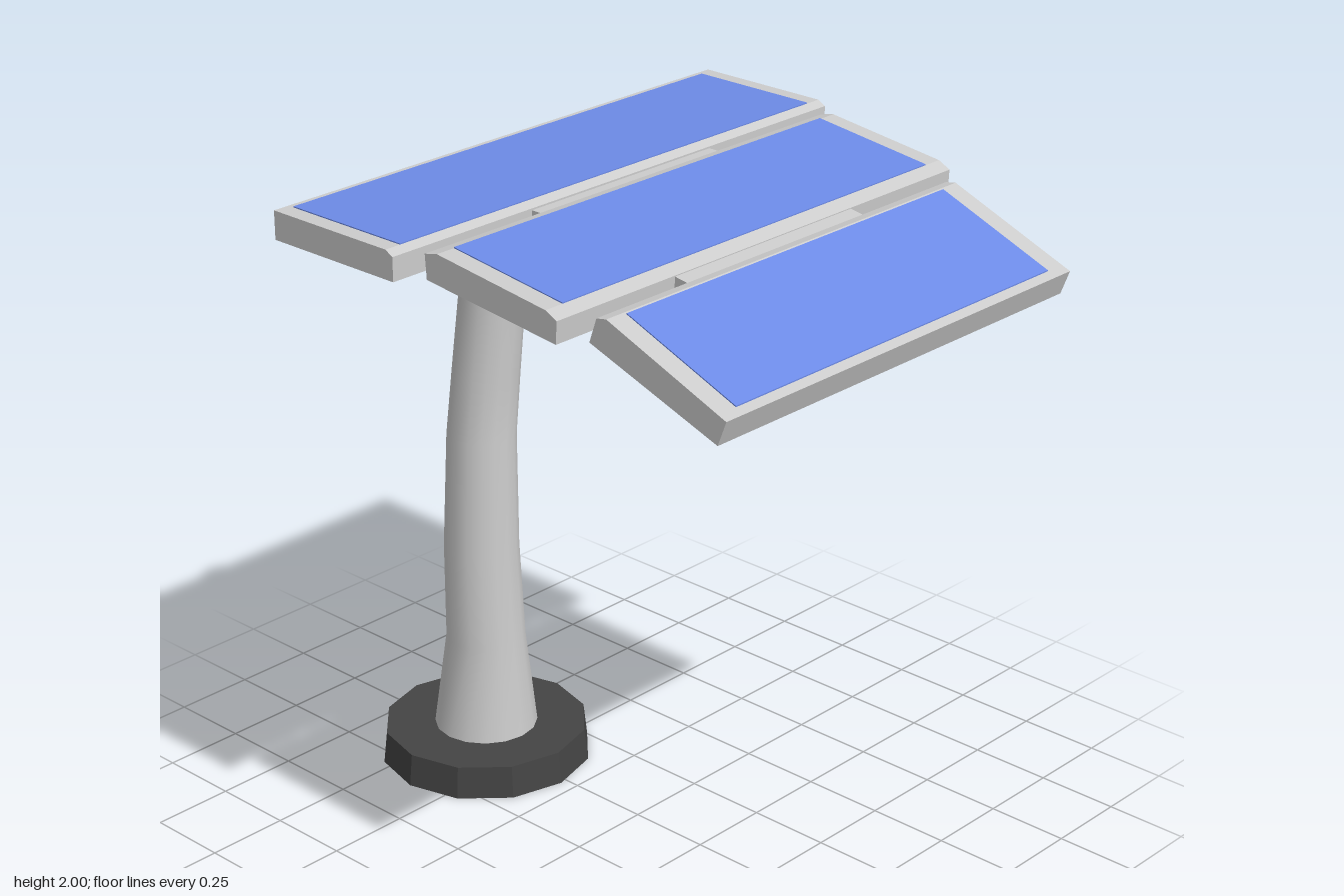
import * as THREE from 'three';

const grey = new THREE.MeshStandardMaterial({ color: 0xcccccc, side: THREE.DoubleSide });
const blue = new THREE.MeshStandardMaterial({ color: 0x6c8ae6 });
const dark = new THREE.MeshStandardMaterial({ color: 0x444444, flatShading: true });

// Extrudes a [z, y] side profile along x, centred on x = 0
function slab(name, profile, width, material) {
  const shape = new THREE.Shape(profile.map(([z, y]) => new THREE.Vector2(z, y)));
  const geometry = new THREE.ExtrudeGeometry(shape, { depth: width, bevelEnabled: false });
  geometry.translate(0, 0, -width / 2).rotateY(-Math.PI / 2);
  const mesh = new THREE.Mesh(geometry, material);
  mesh.name = name;
  return mesh;
}

// Lofts round rings [x, y, z, radius], each turned square to the path in the yz plane
function loft(rings, sides) {
  const positions = [], index = [];
  rings.forEach(([x, y, z, r], i) => {
    const a = rings[Math.max(i - 1, 0)], b = rings[Math.min(i + 1, rings.length - 1)];
    const length = Math.hypot(b[1] - a[1], b[2] - a[2]);
    const ty = (b[1] - a[1]) / length, tz = (b[2] - a[2]) / length;
    for (let k = 0; k < sides; k++) {
      const t = (k / sides) * Math.PI * 2, s = r * Math.sin(t);
      positions.push(x + r * Math.cos(t), y - tz * s, z + ty * s);
      if (i < rings.length - 1) {
        const p = i * sides + k, q = i * sides + ((k + 1) % sides);
        index.push(p, p + sides, q, q, p + sides, q + sides);
      }
    }
  });
  const geometry = new THREE.BufferGeometry();
  geometry.setAttribute('position', new THREE.Float32BufferAttribute(positions, 3));
  geometry.setIndex(index);
  geometry.computeVertexNormals();
  return geometry;
}

export function createModel() {
  const model = new THREE.Group();

  // Twelve-sided foot
  const base = new THREE.Mesh(new THREE.CylinderGeometry(0.312, 0.323, 0.1, 12), dark);
  base.name = 'base';
  base.position.set(-0.022, 0.05, -0.62);
  model.add(base);

  // Leaning post that bends forward under the rear panel
  const post = new THREE.Mesh(loft([
    [-0.022, 0.09, -0.618, 0.158],
    [-0.02, 0.4, -0.613, 0.12],
    [-0.023, 0.7, -0.62, 0.113],
    [0, 1.05, -0.633, 0.104],
    [0.017, 1.25, -0.625, 0.101],
    [0.042, 1.63, -0.6, 0.096],
    [0.047, 1.72, -0.59, 0.096],
    [0.05, 1.805, -0.568, 0.096],
    [0.05, 1.878, -0.515, 0.092],
    [0.05, 1.935, -0.435, 0.075],
    [0.05, 1.955, -0.38, 0.04],
  ], 16), grey);
  post.name = 'post';
  model.add(post);

  // Panels: frame profile, frame width, cell sheet ends on the top face, cell width
  const panels = [
    ['rearPanel', [[-0.51, 1.915], [-0.055, 1.915], [-0.055, 1.983], [-0.08, 1.997], [-0.51, 1.997]],
      1.7, [[-0.49, 1.997], [-0.08, 1.997]], 1.6],
    ['middlePanel', [[-0.005, 1.915], [0.455, 1.865], [0.458, 1.928], [0.42, 1.947], [0.035, 1.995], [-0.01, 1.985]],
      1.56, [[0.035, 1.995], [0.42, 1.947]], 1.44],
    ['frontPanel', [[0.487, 1.855], [0.915, 1.705], [0.942, 1.776], [0.545, 1.932], [0.512, 1.926]],
      1.39, [[0.553, 1.929], [0.915, 1.787]], 1.26],
  ];
  for (const [name, profile, width, [a, b], cellWidth] of panels) {
    const panel = new THREE.Group();
    panel.name = name;
    const lift = 0.003, sink = 0.01;
    panel.add(slab('frame', profile, width, grey));
    panel.add(slab('solarCells', [
      [a[0], a[1] - sink], [b[0], b[1] - sink], [b[0], b[1] + lift], [a[0], a[1] + lift],
    ], cellWidth, blue));
    model.add(panel);
  }

  // Hinge strips joining the panels
  model.add(slab('rearHinge', [[-0.07, 1.92], [0.01, 1.92], [0.01, 1.978], [-0.07, 1.978]], 0.7, grey));
  model.add(slab('frontHinge', [[0.44, 1.872], [0.51, 1.855], [0.525, 1.915], [0.44, 1.928]], 0.7, grey));

  return model;
}
